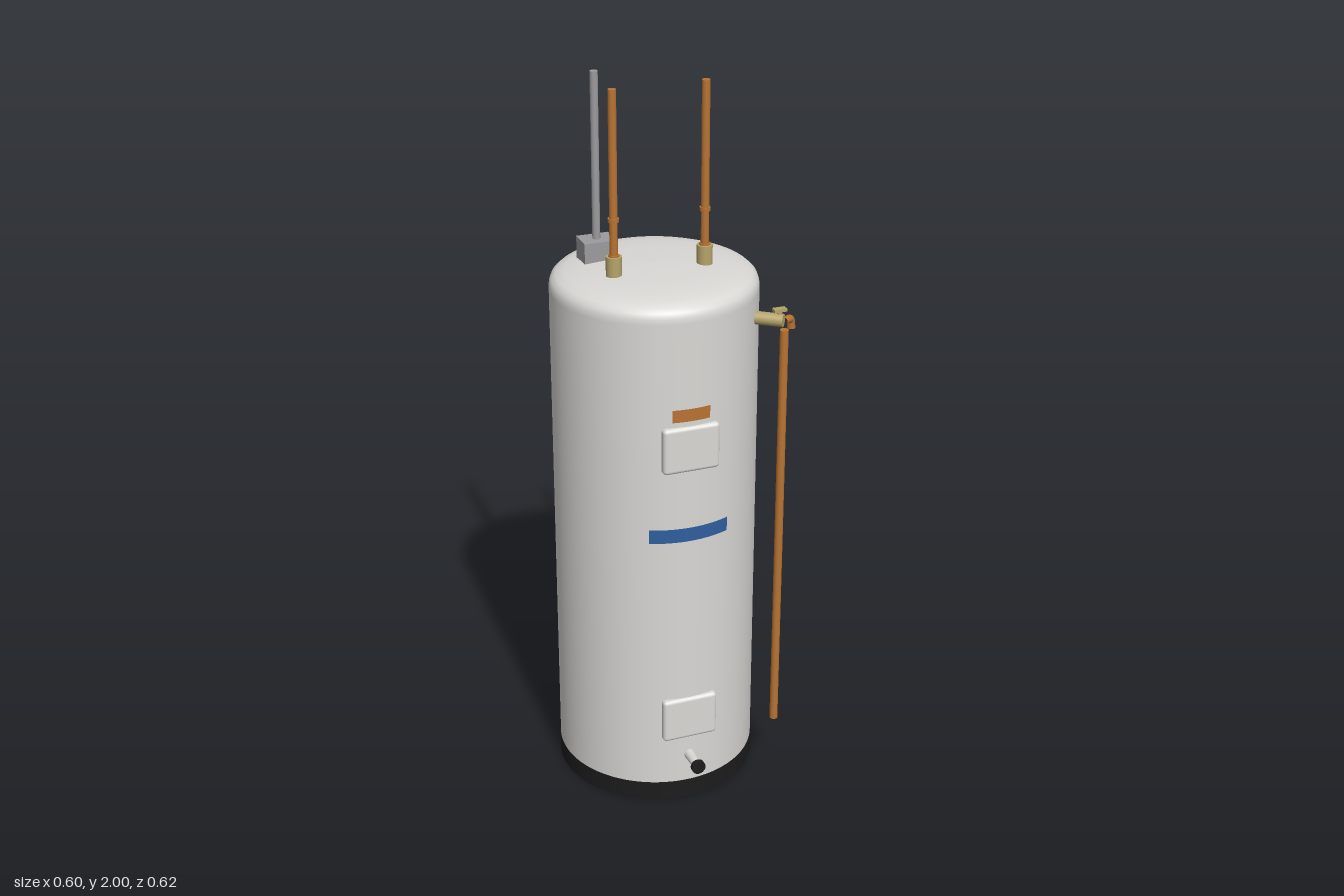
import * as THREE from 'three';
import { RoundedBoxGeometry } from 'three/addons/geometries/RoundedBoxGeometry.js';

const paint = (name, color) => {
  const m = new THREE.MeshStandardMaterial({ color });
  m.name = name;
  return m;
};

export function createModel() {
  const enamel = paint('white enamel', 0xdad8d5);
  const black = paint('black plastic', 0x1c1c1c);
  const copper = paint('copper', 0xb87333);
  const brass = paint('brass', 0xb5a46a);
  const steel = paint('grey steel', 0x9c9a9d);
  const blue = paint('blue label', 0x2f5f9e);

  const model = new THREE.Group();
  model.name = 'waterHeater';
  const CX = -0.022, CZ = -0.037, R = 0.277;

  const add = (name, geometry, material, x = 0, y = 0, z = 0, parent = model) => {
    const mesh = new THREE.Mesh(geometry, material);
    mesh.name = name;
    mesh.position.set(x, y, z);
    parent.add(mesh);
    return mesh;
  };
  // Upright cylinder between two heights
  const post = (name, material, r, y0, y1, x, z, sides = 24) =>
    add(name, new THREE.CylinderGeometry(r, r, y1 - y0, sides), material, x, (y0 + y1) / 2, z);

  // Tank with a softly domed top, standing on a black base ring
  post('base', black, R, 0, 0.055, CX, CZ, 96);
  const profile = [[0.276, 0.05], [0.276, 0.4], [0.276, 1.1], [0.276, 1.44], [0.275, 1.455], [0.270, 1.469],
    [0.258, 1.480], [0.235, 1.489], [0.19, 1.497], [0.12, 1.502], [0, 1.505]];
  add('tank', new THREE.LatheGeometry(profile.map(p => new THREE.Vector2(...p)), 96), enamel, CX, 0, CZ);

  // Inlet and outlet: brass nipple, copper riser and a coupling ring
  for (const [name, x] of [['coldPipe', -0.147], ['hotPipe', 0.103]]) {
    post(name + 'Nipple', brass, 0.021, 1.48, 1.552, x, 0.005);
    post(name, copper, 0.0108, 1.5, 1.99, x, 0.005);
    post(name + 'Socket', copper, 0.0145, 1.55, 1.556, x, 0.005);
    post(name + 'Coupling', copper, 0.0145, 1.645, 1.655, x, 0.005);
  }

  // Electrical junction box and conduit
  add('junctionBox', new THREE.BoxGeometry(0.088, 0.063, 0.07), steel, -0.147, 1.5215, -0.134);
  post('conduit', steel, 0.0105, 1.55, 2, -0.147, -0.134);

  // Access panels on the front
  for (const [name, y] of [['upperPanel', 1.09], ['lowerPanel', 0.264]])
    add(name, new RoundedBoxGeometry(0.156, 0.13, 0.03, 4, 0.011), enamel, CX, y, 0.232);

  // Thin curved labels wrapped on the tank
  const label = (name, material, halfWidth, y0, y1) => {
    const a = Math.asin(halfWidth / (R + 0.002));
    add(name, new THREE.CylinderGeometry(R + 0.002, R + 0.002, y1 - y0, 24, 1, true, -a, 2 * a),
      material, CX, (y0 + y1) / 2, CZ);
  };
  label('noticeSticker', copper, 0.052, 1.17, 1.205);
  label('labelHeader', blue, 0.11, 0.82, 0.86);
  label('labelSheet', enamel, 0.11, 0.56, 0.82);

  // Drain valve
  const drain = new THREE.Group();
  drain.name = 'drainValve';
  drain.position.set(CX, 0.14, 0.23);
  drain.rotation.x = Math.PI / 2;
  model.add(drain);
  add('drainSpout', new THREE.CylinderGeometry(0.012, 0.016, 0.075, 24), enamel, 0, 0.034, 0, drain);
  add('drainCap', new THREE.CylinderGeometry(0.02, 0.02, 0.012, 20), black, 0, 0.075, 0, drain);

  // Relief valve pointing radially out of the tank's left front
  const tube = (name, material, r, points) =>
    add(name, new THREE.TubeGeometry(new THREE.CatmullRomCurve3(points.map(p => new THREE.Vector3(...p))), 16, r, 16), material);
  const valve = add('reliefValve', new THREE.CylinderGeometry(0.0175, 0.0175, 0.08, 24), brass, 0.226, 1.38, 0.148);
  valve.quaternion.setFromUnitVectors(new THREE.Vector3(0, 1, 0), new THREE.Vector3(0.8, 0, 0.6));
  post('leverStem', brass, 0.007, 1.385, 1.406, 0.25, 0.163, 12);
  add('reliefLever', new THREE.BoxGeometry(0.035, 0.008, 0.019), brass, 0.25, 1.408, 0.163);

  // Copper outlet elbow, with an end cap, and the long discharge pipe
  tube('outletElbow', copper, 0.0108, [[0.258, 1.38, 0.176], [0.274, 1.38, 0.166], [0.284, 1.374, 0.158], [0.287, 1.352, 0.156]]);
  post('elbowMouth', copper, 0.0112, 1.35, 1.357, 0.287, 0.156, 16);
  post('dischargePipe', copper, 0.0115, 0.155, 1.355, 0.26, 0.174);

  return model;
}
